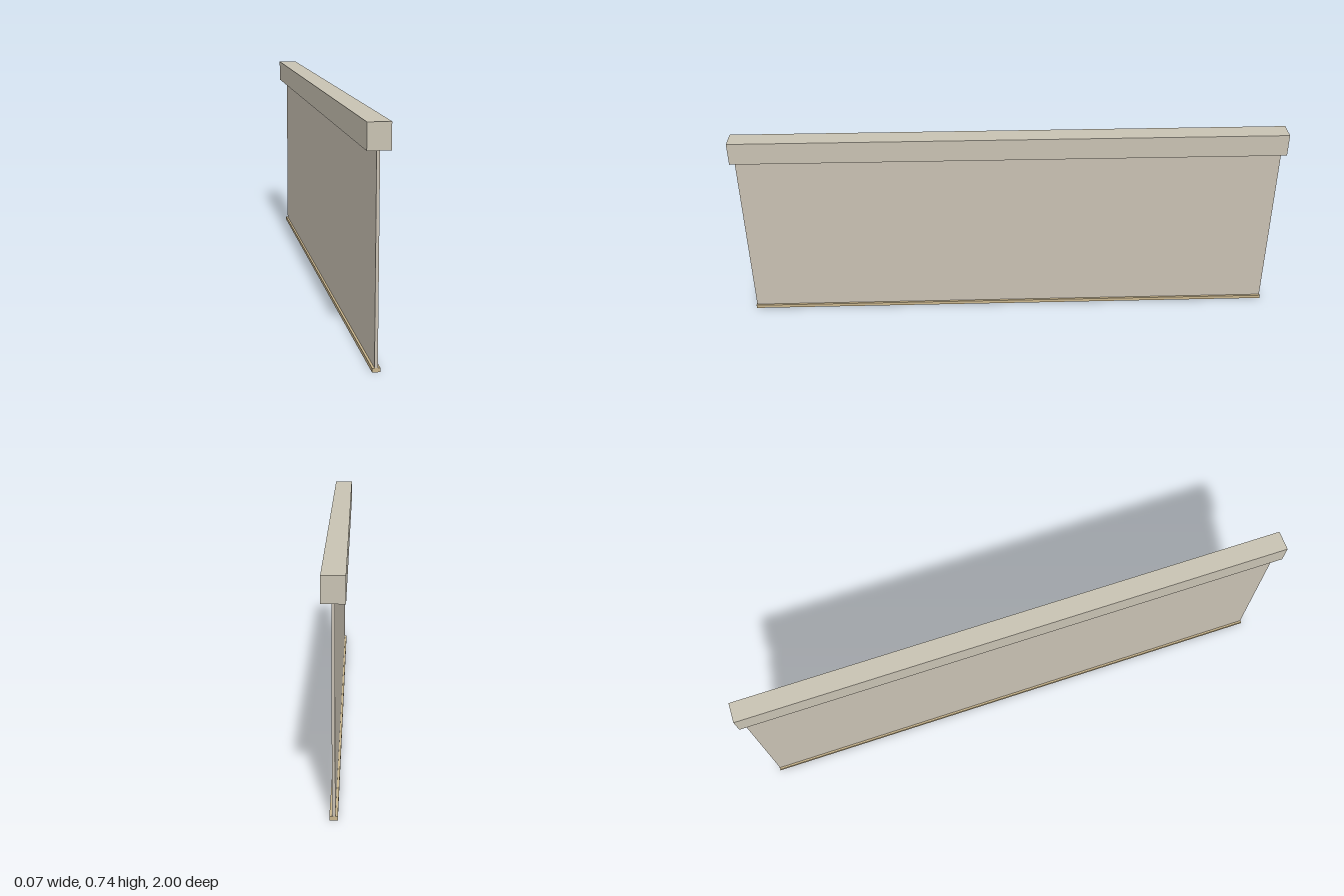
import * as THREE from 'three';

function material(name, color) {
  const m = new THREE.MeshStandardMaterial({ color });
  m.name = name;
  return m;
}

export function createModel() {
  const group = new THREE.Group();
  group.name = 'rollerScreen';

  const casingBeige = material('casing beige', 0xc8c2b2);
  const fabricBeige = material('fabric beige', 0xc8c0b2);
  const railTan = material('rail tan', 0xc8b48c);

  // Box given by its width, length and bottom and top heights
  const addBox = (name, width, bottom, top, length, mat) => {
    const mesh = new THREE.Mesh(new THREE.BoxGeometry(width, top - bottom, length), mat);
    mesh.name = name;
    mesh.position.y = (bottom + top) / 2;
    group.add(mesh);
  };

  // Casing along the top, thin hanging sheet, weighted rail at the foot
  addBox('topCasing', 0.072, 0.66, 0.742, 2, casingBeige);
  addBox('hangingSheet', 0.01, 0.012, 0.66, 1.976, fabricBeige);
  addBox('bottomRail', 0.025, 0, 0.013, 1.98, railTan);

  return group;
}
